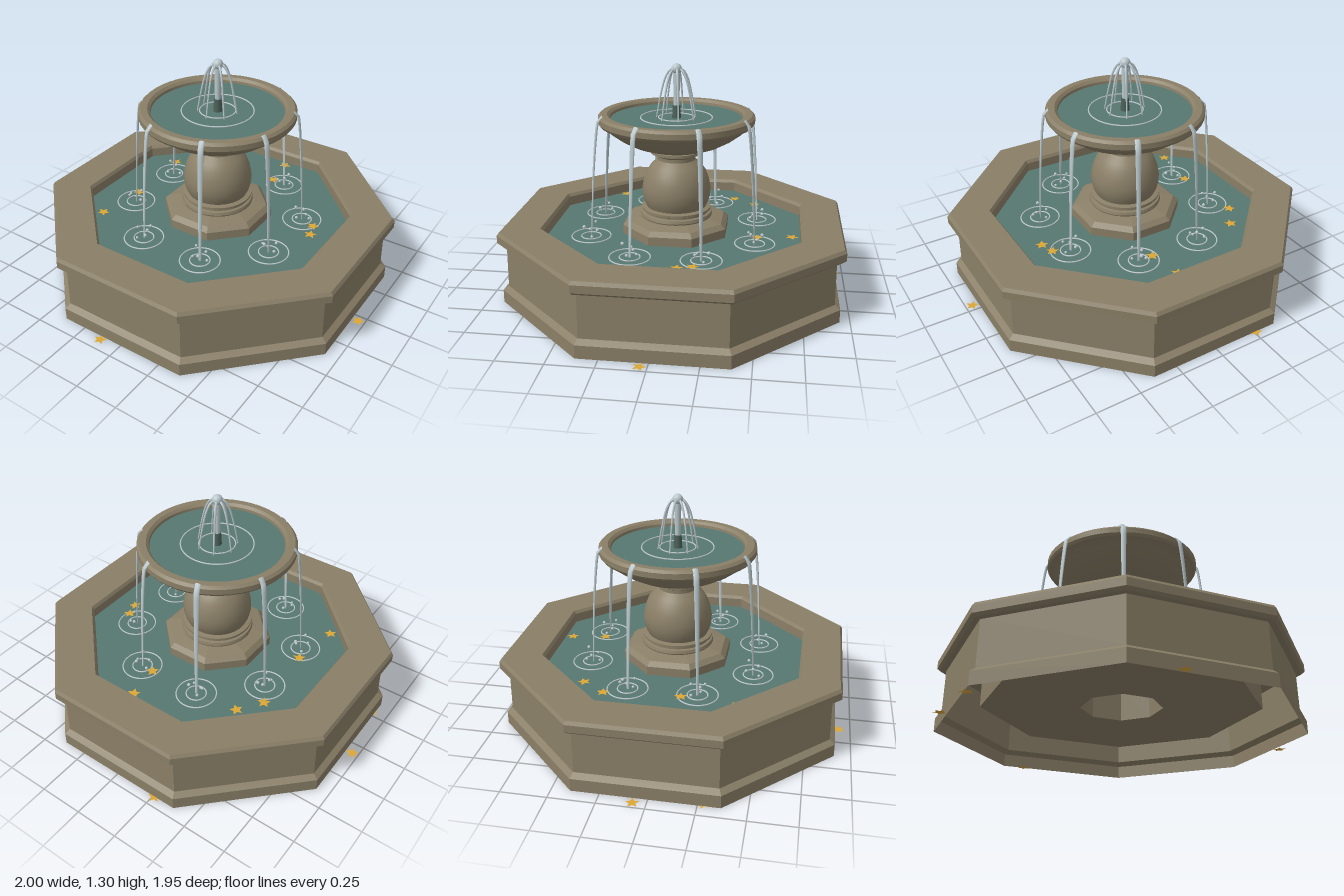
import * as THREE from 'three';
import { toCreasedNormals } from 'three/addons/utils/BufferGeometryUtils.js';

const V2 = ([x, y]) => new THREE.Vector2(x, y);
const V3 = (x, y, z) => new THREE.Vector3(x, y, z);
const FLOOR_Y = 0.14, WATER_Y = 0.345, BOWL_WATER_Y = 1.0;

export function createModel() {
  const model = new THREE.Group();
  model.name = 'fountain';
  const fountain = new THREE.Group();
  fountain.name = 'fountainBody';
  fountain.position.z = -0.017;
  model.add(fountain);

  const mat = (name, color, side = THREE.FrontSide) => {
    const m = new THREE.MeshStandardMaterial({ color, side });
    m.name = name;
    return m;
  };
  const stone = mat('stone', 0x8a7f67, THREE.DoubleSide);
  const water = mat('water', 0x577771, THREE.DoubleSide);
  const spray = mat('spray', 0xbac8cc);
  const pipe = mat('pipe', 0x4c6159);
  const gold = mat('gold', 0xdca633, THREE.DoubleSide);

  const add = (name, geometry, material, parent = fountain) => {
    const mesh = new THREE.Mesh(geometry, material);
    mesh.name = name;
    parent.add(mesh);
    return mesh;
  };

  // Eight-sided solid from a profile of [apothem, y]
  const octagon = (profile) => {
    const k = 1 / Math.cos(Math.PI / 8);
    const g = new THREE.LatheGeometry(profile.map(([a, y]) => V2([a * k, y])), 8, Math.PI / 8).toNonIndexed();
    g.computeVertexNormals();
    return g;
  };
  // Round turned part from a profile of [radius, y]
  const turned = (profile) => toCreasedNormals(new THREE.LatheGeometry(profile.map(V2), 48), 0.55);

  // Tube along a curve in the x-y plane, narrowing from r0 to r1; flat < 1 makes it a ribbon
  const taperedTube = (points, r0, r1, flat, sides = 8) => {
    const curve = new THREE.CatmullRomCurve3(points);
    const steps = 16;
    const g = new THREE.TubeGeometry(curve, steps, 1, sides);
    const p = g.attributes.position, v = V3(0, 0, 0);
    for (let i = 0; i < p.count; i++) {
      const t = Math.floor(i / (sides + 1)) / steps;
      const c = curve.getPointAt(t), r = r0 + (r1 - r0) * t;
      v.fromBufferAttribute(p, i).sub(c);
      p.setXYZ(i, c.x + v.x * r * flat, c.y + v.y * r * flat, c.z + v.z * r);
    }
    g.computeVertexNormals();
    return g;
  };

  const ripple = (parent, radius, y, x = 0) => {
    const m = add('ripple', new THREE.TorusGeometry(radius, 0.004, 6, 40), spray, parent);
    m.rotation.x = -Math.PI / 2;
    m.position.set(x, y, 0);
  };

  const spoke = (name, angle) => {
    const g = new THREE.Group();
    g.name = name;
    g.rotation.y = angle;
    fountain.add(g);
    return g;
  };

  // Basin: plinth and outer wall, coping with the inner wall, floor with a central well
  add('basinWall', octagon([[0.927, 0], [0.927, 0.072], [0.898, 0.095], [0.895, 0.35]]), stone);
  add('basinCoping', octagon([[0.89, 0.343], [0.925, 0.343], [0.942, 0.358], [0.942, 0.4],
    [0.93, 0.418], [0.722, 0.418], [0.71, 0.4], [0.71, FLOOR_Y]]), stone);
  add('copingUnderside', octagon([[0.71, 0.343], [0.895, 0.343]]), stone);
  add('basinFloor', octagon([[0.208, WATER_Y - 0.005], [0.208, FLOOR_Y], [0.71, FLOOR_Y]]), stone);
  add('basinWater', octagon([[0.71, WATER_Y], [0, WATER_Y]]), water);

  // Pedestal
  add('pedestalFoot', octagon([[0.29, FLOOR_Y], [0.29, 0.395], [0.265, 0.42], [0.2, 0.435], [0, 0.435]]), stone);
  add('pedestalUrn', turned([[0.2, 0.43], [0.205, 0.442], [0.2, 0.458], [0.185, 0.462], [0.185, 0.47],
    [0.197, 0.476], [0.197, 0.488], [0.17, 0.493], [0.183, 0.52], [0.193, 0.56], [0.194, 0.6],
    [0.185, 0.65], [0.167, 0.697], [0.143, 0.733], [0.115, 0.757], [0.107, 0.765], [0.107, 0.785],
    [0.118, 0.79], [0.145, 0.803], [0.145, 0.818], [0.115, 0.83]]), stone);

  // Upper bowl
  add('bowl', turned([[0, 0.82], [0.12, 0.822], [0.19, 0.837], [0.26, 0.862], [0.325, 0.898], [0.375, 0.935],
    [0.405, 0.965], [0.425, 0.97], [0.436, 0.985], [0.436, 1.015], [0.422, 1.029], [0.385, 1.029],
    [0.37, 1.015], [0.365, 0.985]]), stone);
  add('bowlWater', turned([[0.368, BOWL_WATER_Y], [0, BOWL_WATER_Y]]), water);
  ripple(fountain, 0.1, BOWL_WATER_Y + 0.003);
  ripple(fountain, 0.2, BOWL_WATER_Y + 0.003);

  // Nozzle, central jet and its crown
  add('nozzle', new THREE.CylinderGeometry(0.021, 0.025, 0.075, 16), pipe).position.y = 1.035;
  add('centralJet', new THREE.CylinderGeometry(0.02, 0.016, 0.21, 16), spray).position.y = 1.17;
  add('jetCrown', new THREE.SphereGeometry(0.029, 20, 14), spray).position.y = 1.275;

  // Arcs falling from the jet into the bowl
  for (let i = 0; i < 7; i++) {
    const arc = spoke('jetSpoke', -Math.PI / 2 + i * Math.PI * 2 / 7);
    add('jetArc', taperedTube([V3(0.01, 1.275, 0), V3(0.035, 1.268, 0), V3(0.062, 1.225, 0),
      V3(0.088, 1.13, 0), V3(0.112, BOWL_WATER_Y, 0)], 0.007, 0.004, 1, 6), spray, arc);
  }

  for (let i = 0; i < 8; i++) {
    const spill = spoke('spillSpoke', (i + 0.5) * Math.PI / 4);

    // Stream spilling over the rim into the basin
    add('spillStream', taperedTube([V3(0.418, 1.03, 0), V3(0.436, 1.025, 0), V3(0.446, 0.99, 0),
      V3(0.46, 0.88, 0), V3(0.477, 0.68, 0), V3(0.496, WATER_Y, 0)], 0.016, 0.007, 0.5), spray, spill);
    ripple(spill, 0.055, WATER_Y + 0.003, 0.497);
    ripple(spill, 0.11, WATER_Y + 0.003, 0.497);

    // Splash drops round the landing point
    for (let j = 0; j < 5; j++) {
      const a = j * 2.4 + i * 1.3;
      const drop = add('splashDrop', new THREE.SphereGeometry(0.008 + 0.001 * (j % 3), 8, 6), spray, spill);
      drop.position.set(0.497 + Math.cos(a) * 0.04, WATER_Y + 0.01 + 0.016 * ((j + i) % 5), Math.sin(a) * 0.04);
    }
  }

  // Flat five-pointed leaves, floating and on the ground
  const star = new THREE.Shape();
  for (let i = 0; i < 10; i++) {
    const r = i % 2 ? 0.018 : 0.038, a = i * Math.PI / 5 + Math.PI / 2;
    star[i ? 'lineTo' : 'moveTo'](r * Math.cos(a), r * Math.sin(a));
  }
  star.closePath();
  const starGeometry = new THREE.ShapeGeometry(star).rotateX(-Math.PI / 2);
  const scatter = (name, y, spots) => spots.forEach(([x, z], i) => {
    const leaf = add(name, starGeometry, gold, model);
    leaf.position.set(x, y, z);
    leaf.rotation.y = (i % 3) * 0.2 - 0.15;
  });
  scatter('floatingLeaf', WATER_Y + 0.008, [[0.08, -0.68], [0.11, -0.485], [-0.44, -0.455], [-0.53, -0.325],
    [0.55, -0.17], [0.575, -0.09], [-0.5, 0.09], [-0.54, 0.38]]);
  scatter('groundLeaf', 0.002, [[-0.965, -0.07], [0.963, 0.04], [-0.12, 0.935], [-0.26, -0.945], [-0.912, 0.28]]);

  return model;
}
